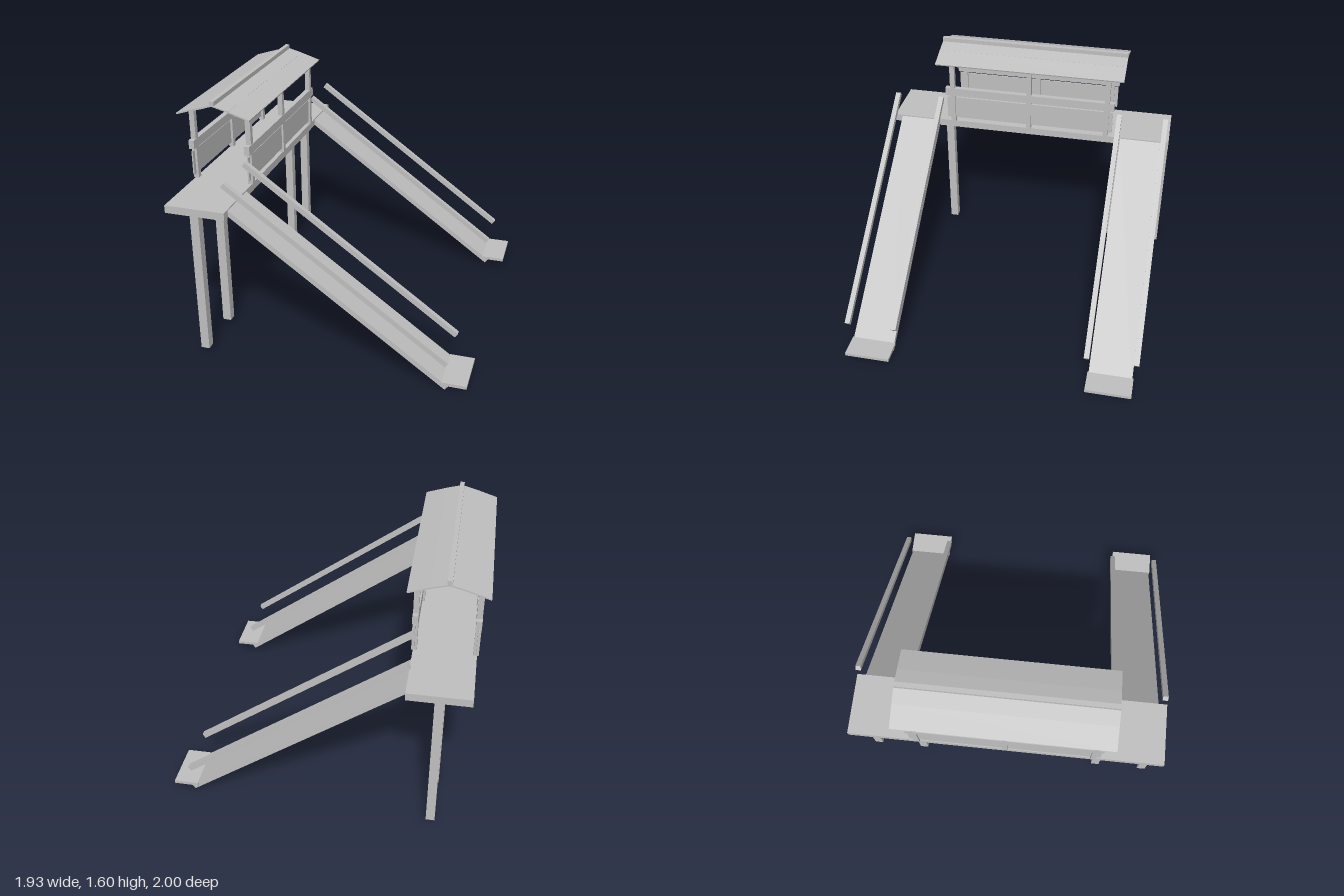
import * as THREE from 'three';

export function createModel() {
  const model = new THREE.Group();
  model.name = 'twinSlidePlatform';
  const grey = new THREE.MeshStandardMaterial({ color: 0xc0c0c0 });
  grey.name = 'plain grey';

  // Box given by its size and centre
  function box(name, w, h, d, x, y, z, tilt = 0) {
    const mesh = new THREE.Mesh(new THREE.BoxGeometry(w, h, d), grey);
    mesh.name = name;
    mesh.position.set(x, y, z);
    mesh.rotation.z = tilt;
    model.add(mesh);
    return mesh;
  }

  // Sloping slab between two points in the x-y plane
  function slope(name, [x0, y0], [x1, y1], thick, depth, z) {
    const length = Math.hypot(x1 - x0, y1 - y0);
    return box(name, length, thick, depth, (x0 + x1) / 2, (y0 + y1) / 2, z,
      Math.atan2(y1 - y0, x1 - x0));
  }

  const middle = -0.726;

  // Long raised walkway
  box('deck', 0.39, 0.05, 2, -0.725, 1.015, 0);

  for (const end of [-1, 1]) {
    // Pair of legs under each end
    for (const z of [0.633, 0.972]) box('leg', 0.056, 0.95, 0.056, -0.728, 0.517, end * z);

    // Slide bed, floating side rails and landing plate
    const centre = end * 0.803;
    slope('slideBed', [-0.541, 1.02], [0.84, 0.021], 0.033, 0.285, centre);
    for (const side of [-1, 1]) {
      slope('slideRail', [-0.541, 1.212], [0.84, 0.213], 0.033, 0.034, centre + side * 0.16);
    }
    box('landingPlate', 0.158, 0.021, 0.3, 0.886, 0.053, centre);
  }

  // Shelter walls on both long sides
  for (const [postX, panelX] of [[-0.913, -0.916], [-0.537, -0.537]]) {
    for (const z of [-0.553, 0, 0.553]) box('roofPost', 0.034, 0.47, 0.034, postX, 1.275, z);
    box('handrail', 0.036, 0.058, 1.208, postX, 1.279, 0);
    box('wallPanel', 0.009, 0.163, 1.194, panelX, 1.151, 0);
  }

  // Shallow two-pitch roof with an inner lining strip on each side
  for (const side of [-1, 1]) {
    const at = (dx, y) => [middle + side * dx, y];
    slope('upperRoof', at(0, 1.575), at(0.105, 1.547), 0.009, 1.32, 0);
    slope('lowerRoof', at(0.1, 1.548), at(0.242, 1.503), 0.009, 1.32, 0);
    slope('roofLining', at(0.05, 1.556), at(0.165, 1.522), 0.008, 1.296, 0);
  }
  box('ridgeBeam', 0.03, 0.034, 1.32, middle, 1.587, 0);

  return model;
}
